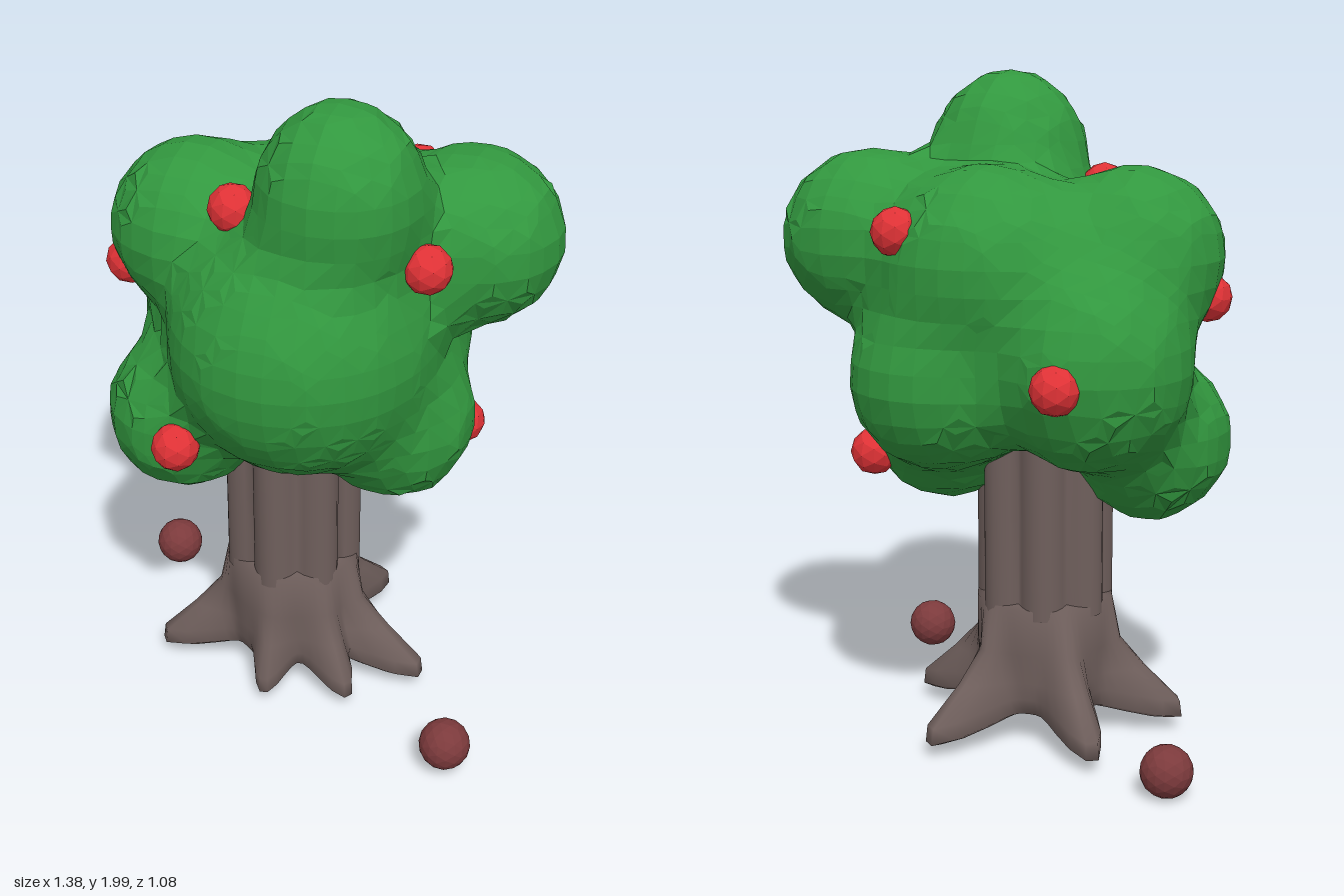
import * as THREE from 'three';
import { mergeVertices } from 'three/addons/utils/BufferGeometryUtils.js';

const mat = (name, color, flat = false) => {
  const m = new THREE.MeshStandardMaterial({ color, flatShading: flat });
  m.name = name;
  return m;
};

// Leaf clumps: centre, radii
const clumps = [
  [[0.025, 1.26, 0.14], [0.385, 0.4, 0.4]], // main front
  [[0.145, 1.73, 0.165], [0.24, 0.27, 0.24]], // top
  [[0.425, 1.515, -0.17], [0.27, 0.262, 0.262]], // upper left
  [[-0.36, 1.49, 0], [0.26, 0.26, 0.26]], // upper right
  [[-0.36, 0.93, 0.12], [0.24, 0.25, 0.25]], // lower right
  [[0.25, 0.95, -0.03], [0.24, 0.25, 0.24]], // lower left
  [[-0.33, 1.2, -0.2], [0.28, 0.31, 0.285]], // back right
  [[0, 1.46, -0.22], [0.32, 0.29, 0.3]], // back top
  [[0.12, 1.13, -0.265], [0.28, 0.27, 0.278]], // back lower
];

// Approximate signed distance to the softly blended union of all clumps.
function foliageDistance(x, y, z) {
  const blend = 0.038;
  let sum = 0;
  for (const [c, r] of clumps) {
    const d = (Math.hypot((x - c[0]) / r[0], (y - c[1]) / r[1], (z - c[2]) / r[2]) - 1) * r[0];
    sum += Math.exp(-d / blend);
  }
  return -blend * Math.log(sum);
}

// Coarse quad skin over a distance function: one point per crossed grid cell, one quad per crossed edge.
function skin(distance, min, counts, step) {
  const at = (c) => min.map((m, k) => m + c[k] * step);
  const value = (c) => distance(...at(c));
  const shift = (c, axis, by) => c.map((n, k) => (k === axis ? n + by : n));
  const points = [], index = [], ids = new Map();

  const cellPoint = (cell) => {
    const key = cell.join();
    if (ids.has(key)) return ids.get(key);
    const sum = [0, 0, 0];
    let n = 0;
    const corner = (i) => cell.map((v, k) => v + ((i >> k) & 1));
    for (let i = 0; i < 8; i++) {
      for (let axis = 0; axis < 3; axis++) {
        if ((i >> axis) & 1) continue;
        const c = corner(i), a = value(c), b = value(shift(c, axis, 1));
        if ((a < 0) === (b < 0)) continue;
        at(shift(c, axis, a / (a - b))).forEach((v, k) => { sum[k] += v; });
        n++;
      }
    }
    points.push(...sum.map((v) => v / n));
    ids.set(key, points.length / 3 - 1);
    return points.length / 3 - 1;
  };

  for (let i = 1; i < counts[0]; i++) for (let j = 1; j < counts[1]; j++) for (let k = 1; k < counts[2]; k++) {
    const c = [i, j, k], inside = value(c) < 0;
    for (let axis = 0; axis < 3; axis++) {
      if (inside === value(shift(c, axis, 1)) < 0) continue;
      const b = (axis + 1) % 3, d = (axis + 2) % 3;
      const quad = [c, shift(c, b, -1), shift(shift(c, b, -1), d, -1), shift(c, d, -1)].map(cellPoint);
      if (!inside) quad.reverse();
      index.push(quad[0], quad[1], quad[2], quad[0], quad[2], quad[3]);
    }
  }
  const g = new THREE.BufferGeometry();
  g.setAttribute('position', new THREE.Float32BufferAttribute(points, 3));
  g.setIndex(index);
  const flat = g.toNonIndexed();
  flat.computeVertexNormals();
  return flat;
}

// Lathe reshaped by rule(angle, radius, y, row), which returns the new [radius, y].
function shapedLathe(profile, segments, rule) {
  const rows = profile.length;
  let g = new THREE.LatheGeometry(profile.map(([r, y]) => new THREE.Vector2(r, y)), segments);
  const p = g.attributes.position;
  for (let i = 0; i < p.count; i++) {
    const row = i % rows, a = (Math.floor(i / rows) % segments) * 2 * Math.PI / segments;
    const [r, y] = rule(a, ...profile[row], row);
    p.setXYZ(i, r * Math.sin(a), y, r * Math.cos(a));
  }
  g.deleteAttribute('normal');
  g.deleteAttribute('uv');
  g = mergeVertices(g, 1e-4);
  g.computeVertexNormals();
  return g;
}

export function createModel() {
  const tree = new THREE.Group();
  tree.name = 'appleTree';
  const leaf = mat('leafGreen', 0x32983f, true);
  const bark = mat('barkBrown', 0x6f5f5c);
  const red = mat('appleRed', 0xe03236, true);
  const fallen = mat('fallenAppleRed', 0x7c3a3c, true);

  const add = (name, geo, material, pos = [0, 0, 0]) => {
    const m = new THREE.Mesh(geo, material);
    m.name = name;
    m.position.set(...pos);
    tree.add(m);
  };

  // Grooved trunk
  const trunk = shapedLathe([[0.165, 0.4], [0.165, 0.7], [0.165, 1.1]], 56,
    (a, r, y) => [r + 0.045 * Math.abs(Math.cos(3.5 * a)), y]);
  add('trunk', trunk, bark, [-0.06, 0, 0.015]);

  // Root flare: tips given as x, z offsets from the trunk axis
  const tips = [[0.01, 0.29], [0.27, 0.21], [0.45, 0.02], [0.17, -0.42], [-0.32, -0.29], [-0.4, 0.16]]
    .map(([x, z]) => ({ angle: Math.atan2(x, z), length: Math.hypot(x, z) }));
  const spread = [0, 0.86, 1, 0.97, 0.5, 0.13, 0, 0];
  const profile = [[0, 0.1], [0.16, 0.055], [0.185, 0.06], [0.2, 0.11], [0.2, 0.2], [0.205, 0.29], [0.205, 0.43], [0.15, 0.44]];
  const roots = shapedLathe(profile, 72, (a, r, y, row) => {
    if (r === 0) return [r, y];
    let out = 0, peak = 0;
    for (const t of tips) {
      const d = Math.atan2(Math.sin(a - t.angle), Math.cos(a - t.angle));
      const bump = Math.exp(-((d / 0.23) ** 2));
      peak = Math.max(peak, bump);
      out = Math.max(out, (t.length - r) * bump);
    }
    // the underside arches up between roots and the tips droop
    const lift = row < 4 ? 0.04 - 0.055 * peak : 0;
    return [r + out * spread[row], y + lift];
  });
  add('roots', roots, bark, [-0.06, 0, 0.015]);

  // Foliage
  add('foliage', skin(foliageDistance, [-0.8, 0.55, -0.7], [22, 21, 19], 0.075), leaf);

  // Apples on the tree
  const apple = new THREE.IcosahedronGeometry(0.072, 1);
  [[-0.16, 1.655, 0.2], [0.395, 1.55, 0.155], [-0.55, 1.37, 0.08], [-0.28, 0.95, 0.375],
    [0.17, 1.57, -0.437], [0.405, 0.865, -0.21], [-0.35, 1.18, -0.47]]
    .forEach((pos, i) => add('apple' + (i + 1), apple, red, pos));

  // Apples on the ground
  const groundApple = new THREE.IcosahedronGeometry(0.077, 2);
  add('fallenAppleRight', groundApple, fallen, [-0.62, 0.08, -0.3]);
  add('fallenAppleLeft', groundApple, fallen, [0.573, 0.105, 0.38]);

  return tree;
}
